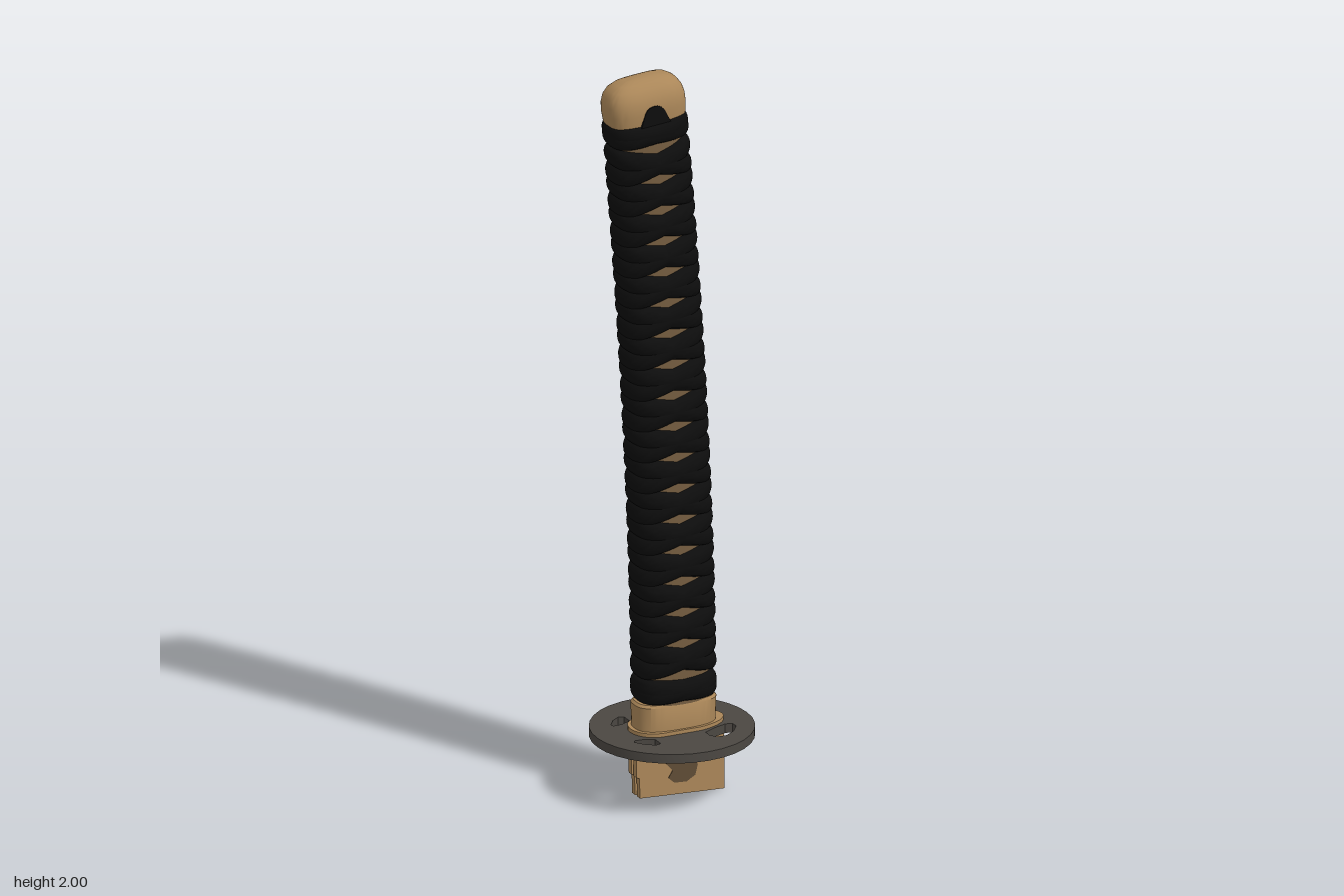
import * as THREE from 'three';
import { toCreasedNormals } from 'three/addons/utils/BufferGeometryUtils.js';

const material = (name, color, side = THREE.FrontSide) => {
  const m = new THREE.MeshStandardMaterial({ color, side });
  m.name = name;
  return m;
};

// Centre line of the grip, leaning gently towards -x as it rises
const START = 0.27, LENGTH = 1.63, BEND = 0.085;
const along = (y) => Math.max(0, (y - START) / LENGTH);
const centreX = (y) => 0.004 - BEND * along(y) ** 1.7;
const lean = (y) => Math.atan((BEND * 1.7 / LENGTH) * along(y) ** 0.7);

// Point u across and v along the grip, in the frame at height y
function onGrip(y, u, v, z) {
  const a = lean(y);
  return [centreX(y) + u * Math.cos(a) - v * Math.sin(a), y + u * Math.sin(a) + v * Math.cos(a), z];
}

// Rounded-rectangle outline
function oval(angle, halfW, halfD, power = 2.8) {
  const c = Math.cos(angle), s = Math.sin(angle);
  return [
    Math.sign(c) * Math.abs(c) ** (2 / power) * halfW,
    Math.sign(s) * Math.abs(s) ** (2 / power) * halfD,
  ];
}

// Skin closed loops of points, listed from bottom to top
function loft(rows, sides, pointAt, crease = 0.7) {
  const pos = [], index = [];
  for (let i = 0; i < rows; i++) {
    for (let j = 0; j < sides; j++) {
      pos.push(...pointAt(i, (j / sides) * Math.PI * 2));
      if (i === rows - 1) continue;
      const a = i * sides + j, b = i * sides + ((j + 1) % sides);
      index.push(a, a + sides, b, b, a + sides, b + sides);
    }
  }
  const g = new THREE.BufferGeometry();
  g.setAttribute('position', new THREE.Float32BufferAttribute(pos, 3));
  g.setIndex(index);
  return toCreasedNormals(g, crease);
}

const shapeOf = (points) => new THREE.Shape(points.map((p) => new THREE.Vector2(...p)));

// Horizontal plate whose upper face lies at height top
function plate(shape, top, thickness) {
  const g = new THREE.ExtrudeGeometry(shape, { depth: thickness, bevelEnabled: false });
  g.rotateX(Math.PI / 2);
  g.translate(0, top, 0);
  return toCreasedNormals(g, 0.5);
}

export function createModel() {
  const group = new THREE.Group();
  const brass = material('warm brass', 0xab8759);
  const skin = material('brown grip skin', 0x755d40);
  const cord = material('black cord', 0x0d0d0d, THREE.DoubleSide);
  const iron = material('dark iron', 0x4b4742);
  const mark = material('dark brown patina', 0x5f4c36);

  const add = (name, geometry, mat, parent = group) => {
    const mesh = new THREE.Mesh(geometry, mat);
    mesh.name = name;
    parent.add(mesh);
    return mesh;
  };

  // Curved grip core, seen through the diamond gaps
  const coreRows = 24;
  add('gripCore', loft(coreRows, 40, (i, a) => {
    const [u, z] = oval(a, 0.094, 0.061);
    return onGrip(0.25 + (1.65 * i) / (coreRows - 1), u, 0, z);
  }), skin);

  // Cord wrapping: pairs of bands tilted opposite ways, crossing on both faces
  const wrap = new THREE.Group();
  wrap.name = 'cordWrapping';
  group.add(wrap);
  const crossings = 19, pitch = 0.0862, half = 0.031, bandRows = 9;
  for (let k = 0; k < crossings; k++) {
    const y = 0.307 + k * pitch;
    const slope = k === 0 || k === crossings - 1 ? 0.07 : 0.25;
    for (const dir of [-1, 1]) {
      add('cordBand', loft(bandRows, 40, (i, a) => {
        const t = (i / (bandRows - 1)) * 2 - 1;
        const bulge = 0.021 * Math.sqrt(1 - t * t) - 0.002;
        const [u, z] = oval(a, 0.092 + bulge, 0.061 + bulge);
        return onGrip(y, u, dir * slope * u + t * half, z);
      }, 1.2), cord, wrap);
    }
  }

  // Rounded pommel cap: height, half width, half depth
  const cap = [
    [0, 0, 0], [0, 0.106, 0.066], [0.03, 0.109, 0.069], [0.055, 0.108, 0.067], [0.075, 0.103, 0.061],
    [0.092, 0.092, 0.05], [0.104, 0.074, 0.036], [0.111, 0.048, 0.02], [0.113, 0, 0],
  ];
  add('pommelCap', loft(cap.length, 48, (i, a) => {
    const [v, w, d] = cap[i];
    const [u, z] = oval(a, w, d, 3.2);
    return onGrip(1.887, u, v, z);
  }, 0.9), brass);

  // Arched cord openings on both faces of the cap
  const arch = new THREE.Shape();
  arch.moveTo(-0.042, 0);
  arch.lineTo(-0.03, 0.03);
  arch.quadraticCurveTo(-0.022, 0.052, 0, 0.052);
  arch.quadraticCurveTo(0.022, 0.052, 0.03, 0.03);
  arch.lineTo(0.042, 0);
  for (const side of [-1, 1]) {
    const g = new THREE.ExtrudeGeometry(arch, { depth: 0.008, bevelEnabled: false });
    g.translate(0, 0, -0.004);
    const m = add('capOpening', g, cord);
    m.position.set(centreX(1.887), 1.885, side * 0.067);
    m.rotation.z = lean(1.887);
  }

  // Collar between grip and guard
  const collar = [[0.19, 0, 0], [0.19, 0.112, 0.06], [0.265, 0.114, 0.063], [0.272, 0.108, 0.058], [0.272, 0, 0]];
  add('collar', loft(collar.length, 40, (i, a) => {
    const [y, w, d] = collar[i];
    const [x, z] = oval(a, w, d);
    return [x + 0.004, y, z];
  }), brass);

  // Thin spacers hugging both sides of the guard, pointed towards +x
  const spacer = new THREE.Shape();
  spacer.moveTo(0.143, 0);
  spacer.bezierCurveTo(0.143, 0.035, 0.1, 0.06, 0.05, 0.068);
  spacer.lineTo(-0.06, 0.068);
  spacer.bezierCurveTo(-0.14, 0.06, -0.14, -0.06, -0.06, -0.068);
  spacer.lineTo(0.05, -0.068);
  spacer.bezierCurveTo(0.1, -0.06, 0.143, -0.035, 0.143, 0);
  add('upperSpacer', plate(spacer, 0.2, 0.012), brass);

  // Round guard with four openings
  const disc = shapeOf(Array.from({ length: 32 }, (_, i) => {
    const a = (i / 32) * Math.PI * 2;
    return [0.215 * Math.cos(a), 0.215 * Math.sin(a)];
  }));
  const rightHole = [[0.055, 0.085], [0.055, 0.108], [0.068, 0.127], [0.095, 0.128], [0.125, 0.107],
    [0.147, 0.077], [0.145, 0.058], [0.127, 0.053], [0.09, 0.066]];
  const leftHole = [[-0.085, 0.075], [-0.085, 0.107], [-0.1, 0.112], [-0.123, 0.096], [-0.142, 0.07], [-0.138, 0.06], [-0.115, 0.062]];
  for (const hole of [rightHole, leftHole]) {
    for (const s of [-1, 1]) disc.holes.push(shapeOf(hole.map(([x, z]) => [x, s * z])));
  }
  add('guard', plate(disc, 0.19, 0.025), iron);

  // Blade collar: two cheeks around a recessed core
  const cheek = shapeOf([[-0.115, 0.17], [-0.113, 0.07], [-0.105, 0.068], [-0.103, 0.012], [0.14, 0], [0.138, 0.17]]);
  const slab = (shape, z0, depth) => {
    const g = new THREE.ExtrudeGeometry(shape, { depth, bevelEnabled: false });
    g.translate(0, 0, z0);
    return g;
  };
  add('bladeCollarFront', slab(cheek, 0.006, 0.017), brass);
  add('bladeCollarBack', slab(cheek, -0.023, 0.017), brass);
  const inner = shapeOf([[-0.08, 0.17], [-0.08, 0.03], [0.13, 0.015], [0.13, 0.17]]);
  add('bladeCollarCore', slab(inner, -0.007, 0.014), brass);

  // Worn patch on each cheek
  const patch = shapeOf([[-0.028, 0.125], [0.015, 0.128], [0.045, 0.11], [0.062, 0.08], [0.055, 0.052],
    [0.03, 0.038], [-0.005, 0.04], [-0.022, 0.055], [-0.01, 0.075], [-0.028, 0.095]]);
  add('wornPatchFront', slab(patch, 0.021, 0.004), mark);
  add('wornPatchBack', slab(patch, -0.025, 0.004), mark);

  return group;
}
